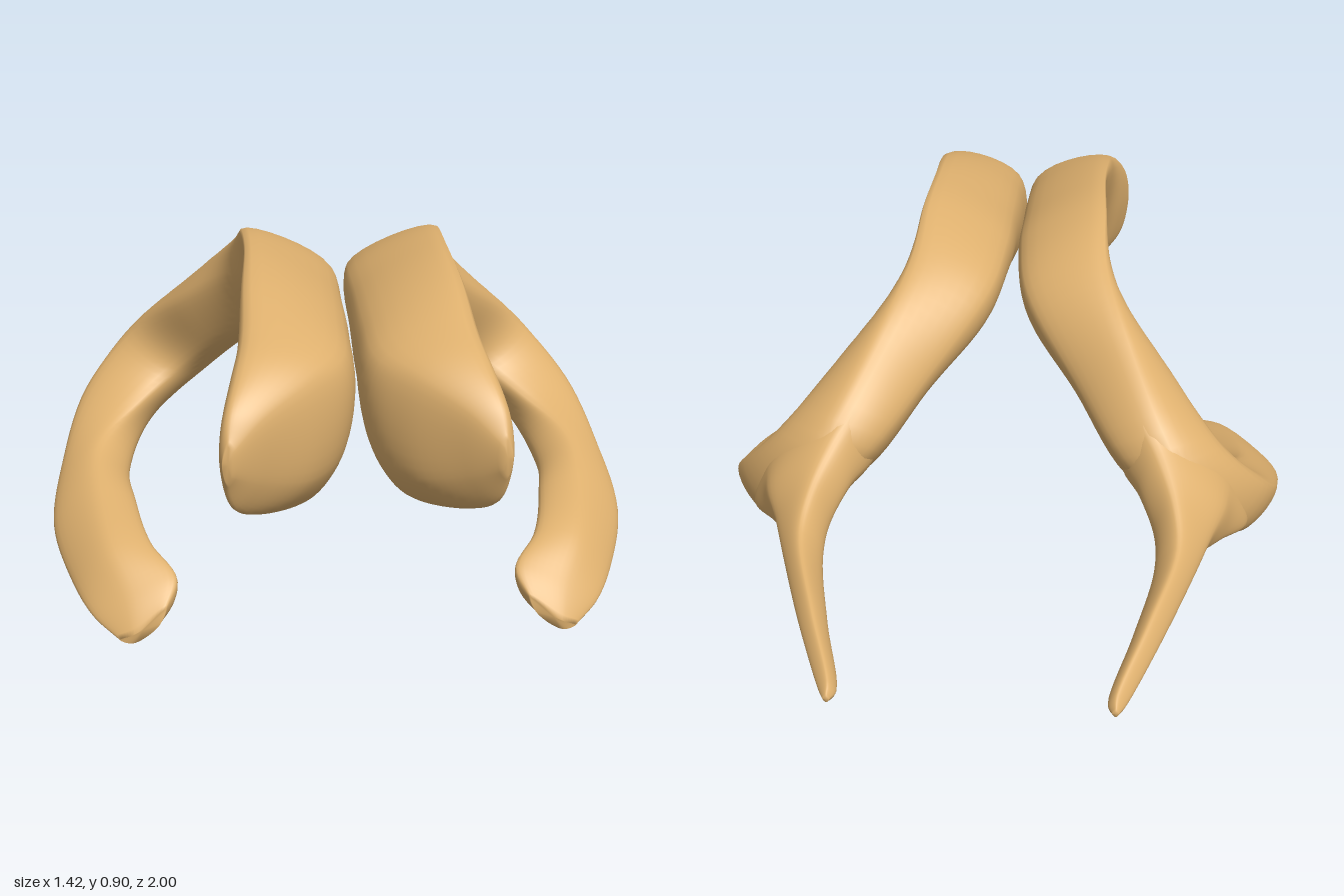
import * as THREE from 'three';

const tan = new THREE.MeshStandardMaterial({ color: 0xdeb06e });
tan.name = 'warm tan';

// Each station is a cross-section of a few points, running from the outer bend
// over the lateral side and the inner bend to the medial side.
const frontHorn = [
  [[.27, .66, .993], [.282, .625, .997], [.274, .585, .993], [.264, .6, .998], [.264, .645, .998]],
  [[.265, .72, .955], [.288, .63, .965], [.258, .51, .955], [.2, .57, .955], [.2, .7, .955]],
  [[.248, .775, .88], [.268, .63, .885], [.2, .468, .88], [.1, .54, .88], [.1, .745, .87]],
  [[.235, .815, .78], [.22, .63, .78], [.11, .456, .78], [.03, .56, .78], [.035, .76, .78]],
  [[.23, .87, .6], [.195, .68, .6], [.1, .487, .6], [.022, .6, .6], [.022, .785, .6]],
  [[.224, .896, .4], [.165, .74, .4], [.1, .59, .4], [.022, .66, .4], [.02, .795, .4]],
  [[.23, .885, .2], [.195, .755, .2], [.115, .645, .2], [.025, .69, .2], [.02, .79, .2]],
  [[.24, .815, 0], [.265, .715, .01], [.18, .605, .01], [.07, .635, 0], [.048, .74, 0]],
];
const archAndLowerHorn = [
  [[.3, .703, -.19], [.385, .622, -.125], [.31, .505, -.12], [.2, .52, -.15], [.175, .6, -.19]],
  [[.425, .5, -.4], [.53, .49, -.285], [.41, .41, -.175], [.32, .39, -.27], [.315, .46, -.37]],
  [[.57, .28, -.32], [.65, .35, -.215], [.51, .34, -.11], [.47, .28, -.19], [.5, .26, -.28]],
  [[.635, .155, -.04], [.7, .225, 0], [.6, .285, .02], [.528, .22, .01], [.55, .165, -.01]],
  [[.645, .098, .2], [.707, .14, .2], [.6, .235, .2], [.503, .2, .2], [.55, .125, .2]],
  [[.6, .052, .4], [.65, .08, .385], [.56, .17, .4], [.46, .17, .38], [.475, .09, .39]],
  [[.54, .024, .5], [.595, .042, .49], [.51, .1, .5], [.4, .125, .475], [.415, .06, .48]],
  [[.5, .003, .56], [.53, .012, .557], [.495, .03, .568], [.425, .075, .54], [.44, .04, .55]],
];
const rearHorn = [
  [[.32, .63, -.23], [.46, .45, -.23], [.58, .29, -.23], [.36, .44, -.23]],
  [[.32, .6, -.31], [.535, .44, -.31], [.598, .28, -.3], [.3, .43, -.31]],
  [[.375, .525, -.4], [.54, .41, -.4], [.53, .296, -.4], [.338, .415, -.41]],
  [[.415, .455, -.5], [.503, .368, -.5], [.455, .299, -.5], [.374, .365, -.5]],
  [[.425, .4, -.6], [.468, .34, -.6], [.42, .288, -.6], [.375, .335, -.6]],
  [[.365, .342, -.8], [.395, .3, -.8], [.36, .262, -.8], [.33, .298, -.8]],
  [[.302, .28, -.97], [.322, .257, -.97], [.302, .234, -.97], [.283, .255, -.97]],
  [[.3, .264, -1], [.307, .256, -1], [.3, .247, -1], [.293, .255, -1]],
];

// Smooth loft through the stations, closed at both ends; side = -1 mirrors it.
function loft(stations, side, stepsPerStation = 7, around = 40) {
  const rails = stations[0].map((_, k) =>
    new THREE.CatmullRomCurve3(stations.map(s => new THREE.Vector3(...s[k]))));
  const steps = (stations.length - 1) * stepsPerStation;
  const pos = [], index = [], centres = [];
  const put = p => pos.push(p.x * side, p.y, p.z);
  const face = (a, b, c) => (side > 0 ? index.push(a, b, c) : index.push(a, c, b));
  for (let j = 0; j <= steps; j++) {
    const corners = rails.map(r => r.getPoint(j / steps));
    const ring = new THREE.CatmullRomCurve3(corners, true);
    for (let i = 0; i < around; i++) put(ring.getPoint(i / around));
    const centre = new THREE.Vector3();
    corners.forEach(c => centre.addScaledVector(c, 1 / corners.length));
    centres.push(centre);
  }
  for (let j = 0; j < steps; j++) {
    for (let i = 0; i < around; i++) {
      const n = (i + 1) % around;
      const a = j * around + i, b = j * around + n;
      face(a, b, a + around);
      face(b, b + around, a + around);
    }
  }
  // End caps
  const first = (steps + 1) * around, last = first + 1, base = steps * around;
  put(centres[0]);
  put(centres[steps]);
  for (let i = 0; i < around; i++) {
    const n = (i + 1) % around;
    face(first, n, i);
    face(last, base + i, base + n);
  }
  const g = new THREE.BufferGeometry();
  g.setAttribute('position', new THREE.Float32BufferAttribute(pos, 3));
  g.setIndex(index);
  g.computeVertexNormals();
  return g;
}

function createHalf(side) {
  const half = new THREE.Group();
  half.name = side > 0 ? 'leftHalf' : 'rightHalf';
  // Curved body: broad front horn sweeping back, down and forward to the lower horn
  const arch = new THREE.Mesh(loft([...frontHorn, ...archAndLowerHorn], side), tan);
  arch.name = 'curvedBody';
  // Spike at the back, widening into the bend of the body
  const spike = new THREE.Mesh(loft(rearHorn, side), tan);
  spike.name = 'rearHorn';
  half.add(arch, spike);
  return half;
}

export function createModel() {
  const model = new THREE.Group();
  model.name = 'pairedHorns';
  model.add(createHalf(1), createHalf(-1));
  return model;
}
